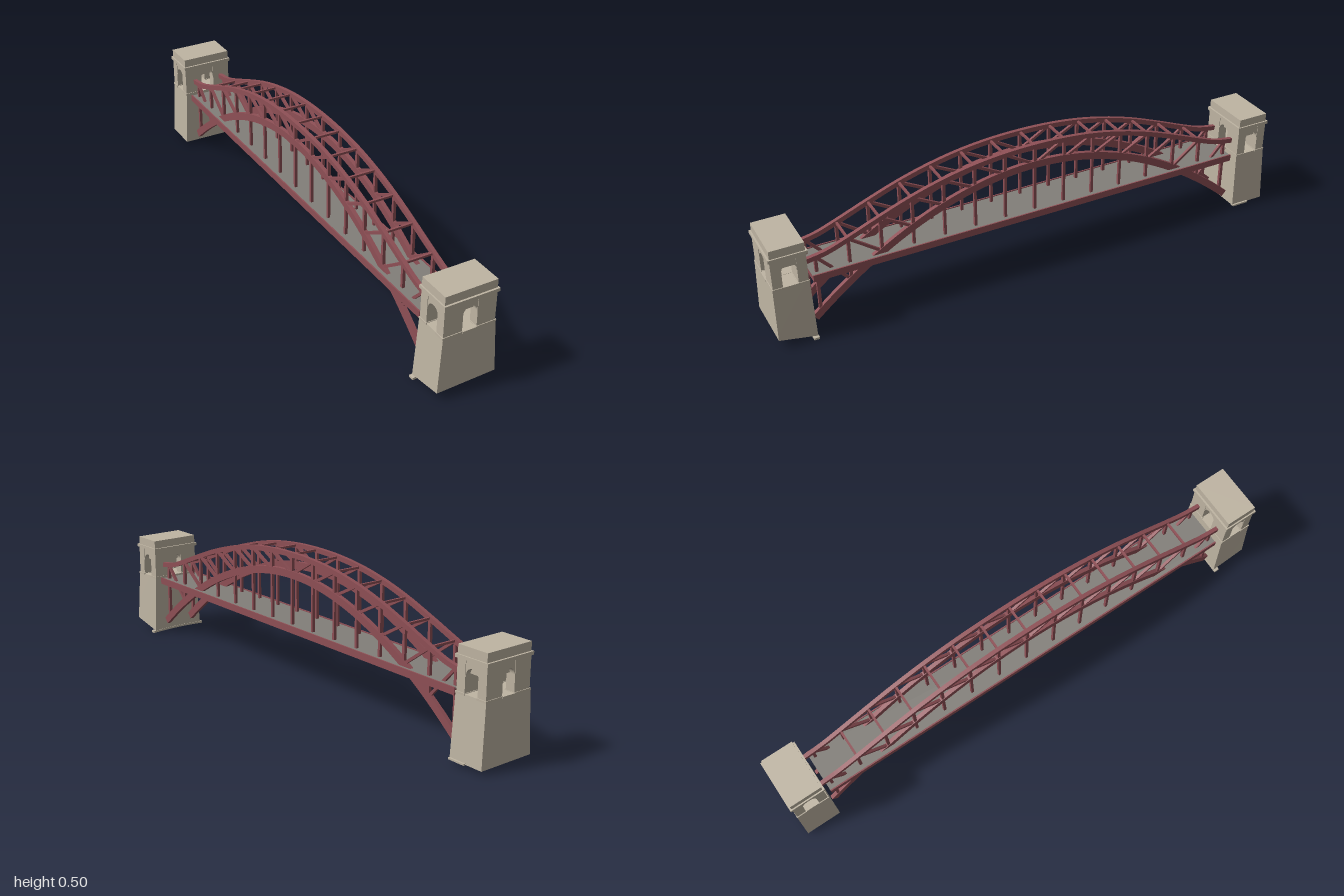
import * as THREE from 'three';

const mat = (name, color) => Object.assign(new THREE.MeshStandardMaterial({ color }), { name });

export function createModel() {
  const stone = mat('stone', 0xbfb5a3);
  const steel = mat('red steel', 0x8f5056);
  const road = mat('road grey', 0x827f79);
  const model = new THREE.Group();
  model.name = 'archBridge';

  const add = (parent, name, geometry, material) => {
    const mesh = new THREE.Mesh(geometry, material);
    mesh.name = name;
    parent.add(mesh);
    return mesh;
  };
  // Box given by its minimum and maximum corners
  const box = (parent, name, x0, x1, y0, y1, z0, z1, material) => {
    const mesh = add(parent, name, new THREE.BoxGeometry(x1 - x0, y1 - y0, z1 - z0), material);
    mesh.position.set((x0 + x1) / 2, (y0 + y1) / 2, (z0 + z1) / 2);
    return mesh;
  };

  // ---- Trusses ----
  const X = 0.057, W = 0.015, STEP = 0.1185, END = 0.865;
  const half = [[0.119, 0.489], [0.237, 0.476], [0.356, 0.452], [0.474, 0.418],
    [0.593, 0.374], [0.711, 0.327], [0.79, 0.299], [END, 0.286]];
  const topPoints = [...half.map(([z, y]) => [-z, y]).reverse(), [0, 0.493], ...half]
    .map(([z, y]) => new THREE.Vector2(z, y));
  const topCurve = new THREE.SplineCurve(topPoints);
  const topLine = topCurve.getPoints(80);
  const lowY = z => 0.42 - 0.513 * z * z;
  const lowLine = [];
  for (let i = 0; i <= 64; i++) {
    const z = -0.852 + 1.704 * i / 64;
    lowLine.push(new THREE.Vector2(z, lowY(z)));
  }
  // Height of the upper chord at a given z
  const topY = z => {
    const k = Math.max(1, topLine.findIndex(p => p.x >= z));
    const a = topLine[k - 1], b = topLine[k];
    return a.y + (b.y - a.y) * (z - a.x) / (b.x - a.x);
  };
  // Ribbon of constant depth along a line in the z-y plane
  const chord = (line, depth) => {
    const side = s => line.map((p, i) => {
      const a = line[Math.max(0, i - 1)], b = line[Math.min(line.length - 1, i + 1)];
      const t = b.clone().sub(a).normalize();
      return new THREE.Vector2(p.x - t.y * s * depth / 2, p.y + t.x * s * depth / 2);
    });
    const shape = new THREE.Shape([...side(-1), ...side(1).reverse()]);
    const g = new THREE.ExtrudeGeometry(shape, { depth: W, bevelEnabled: false });
    return g.translate(0, 0, -W / 2).rotateY(-Math.PI / 2);
  };
  // Straight bar between two points in a truss plane
  const bar = (parent, name, z0, y0, z1, y1, t) => {
    const m = add(parent, name, new THREE.BoxGeometry(t, t, Math.hypot(z1 - z0, y1 - y0)), steel);
    m.position.set(0, (y0 + y1) / 2, (z0 + z1) / 2);
    m.rotation.x = -Math.atan2(y1 - y0, z1 - z0);
  };
  const upper = chord(topLine, 0.018), lower = chord(lowLine, 0.028);
  for (const s of [-1, 1]) {
    const truss = new THREE.Group();
    truss.name = s > 0 ? 'leftTruss' : 'rightTruss';
    truss.position.x = s * X;
    add(truss, 'upperChord', upper, steel);
    add(truss, 'lowerChord', lower, steel);
    for (let i = -7; i <= 7; i++) {
      const z = i * STEP;
      bar(truss, 'post', z, lowY(z), z, topY(z), 0.011);
      if (Math.abs(i) < 6) bar(truss, 'hanger', z, 0.225, z, lowY(z), 0.01);
      if (i) {
        const inner = z - Math.sign(i) * STEP;
        bar(truss, 'diagonal', z, topY(z), inner, lowY(inner), 0.01);
      }
    }
    model.add(truss);
  }
  // Cross struts between the upper chords
  for (let i = -6; i <= 6; i++) {
    const z = i * STEP, y = topY(z);
    box(model, 'crossStrut', -X, X, y - 0.004, y + 0.004, z - 0.004, z + 0.004, steel);
  }

  // ---- Deck ----
  box(model, 'deck', -0.085, 0.085, 0.211, 0.232, -0.85, 0.85, steel);
  box(model, 'roadway', -0.08, 0.08, 0.231, 0.2335, -0.85, 0.85, road);
  for (const s of [-1, 1])
    box(model, 'deckEdge', s * 0.0825 - 0.0025, s * 0.0825 + 0.0025, 0.23, 0.237, -0.85, 0.85, steel);

  // ---- Towers ----
  // Wall above an opening, with a round arch cut from its lower edge
  const archWall = () => {
    const s = new THREE.Shape();
    s.moveTo(-0.03, 0.29);
    s.lineTo(-0.026, 0.29);
    s.lineTo(-0.026, 0.295);
    s.absarc(0, 0.295, 0.026, Math.PI, 0, true);
    s.lineTo(0.026, 0.29);
    s.lineTo(0.03, 0.29);
    s.lineTo(0.03, 0.347);
    s.lineTo(-0.03, 0.347);
    return new THREE.ExtrudeGeometry(s, { depth: 0.02, bevelEnabled: false, curveSegments: 16 });
  };
  const tower = (name, bottomY) => {
    const g = new THREE.Group();
    g.name = name;
    // Battered shaft; its foot follows the ground
    const shaft = new THREE.BoxGeometry(2, 1, 2);
    const p = shaft.attributes.position;
    for (let i = 0; i < p.count; i++) {
      const x = p.getX(i), z = p.getZ(i);
      if (p.getY(i) > 0) p.setXYZ(i, x * 0.098, 0.235, z * 0.064);
      else p.setXYZ(i, x * 0.11, bottomY(x, z), z * 0.068);
    }
    shaft.computeVertexNormals();
    add(g, 'shaft', shaft, stone);
    // Belvedere: corner piers, arched walls and ceiling
    for (const sx of [-1, 1]) for (const sz of [-1, 1]) {
      const x = sx * 0.062, z = sz * 0.0445;
      box(g, 'cornerPier', x - 0.035, x + 0.035, 0.234, 0.347, z - 0.0175, z + 0.0175, stone);
      box(g, 'pierFoot', x - 0.038, x + 0.038, 0.23, 0.237, z - 0.02, z + 0.02, stone);
    }
    for (let k = 0; k < 4; k++) {
      const wall = add(g, 'archWall', archWall(), stone);
      const angle = k * Math.PI / 2, out = k % 2 ? 0.075 : 0.04;
      wall.rotation.y = angle;
      wall.position.set(Math.sin(angle) * out, 0, Math.cos(angle) * out);
    }
    box(g, 'ceiling', -0.076, 0.076, 0.297, 0.347, -0.041, 0.041, stone);
    box(g, 'windowSill', -0.028, 0.028, 0.229, 0.236, -0.066, 0.066, stone);
    box(g, 'cornice', -0.102, 0.102, 0.345, 0.357, -0.068, 0.068, stone);
    box(g, 'cap', -0.097, 0.097, 0.357, 0.388, -0.061, 0.061, stone);
    model.add(g);
    return g;
  };
  const front = tower('frontTower', (x, z) => z > 0 ? 0.033 + x * 0.003 : 0.008);
  front.position.z = 0.932;
  const back = tower('backTower', () => 0.014);
  back.position.z = -0.932;
  back.rotation.y = Math.PI;

  // Thin bent footing under the inner edge of the front tower
  const footing = new THREE.BoxGeometry(0.24, 0.008, 0.02, 12, 1, 1);
  const fp = footing.attributes.position;
  for (let i = 0; i < fp.count; i++) {
    const u = fp.getX(i) / 0.12;
    fp.setY(i, fp.getY(i) + 0.008 - 0.004 * u * u);
  }
  footing.computeVertexNormals();
  add(front, 'footing', footing, stone).position.z = -0.06;
  box(back, 'sideFooting', -0.117, -0.1, 0.012, 0.018, -0.068, 0, stone);

  return model;
}
